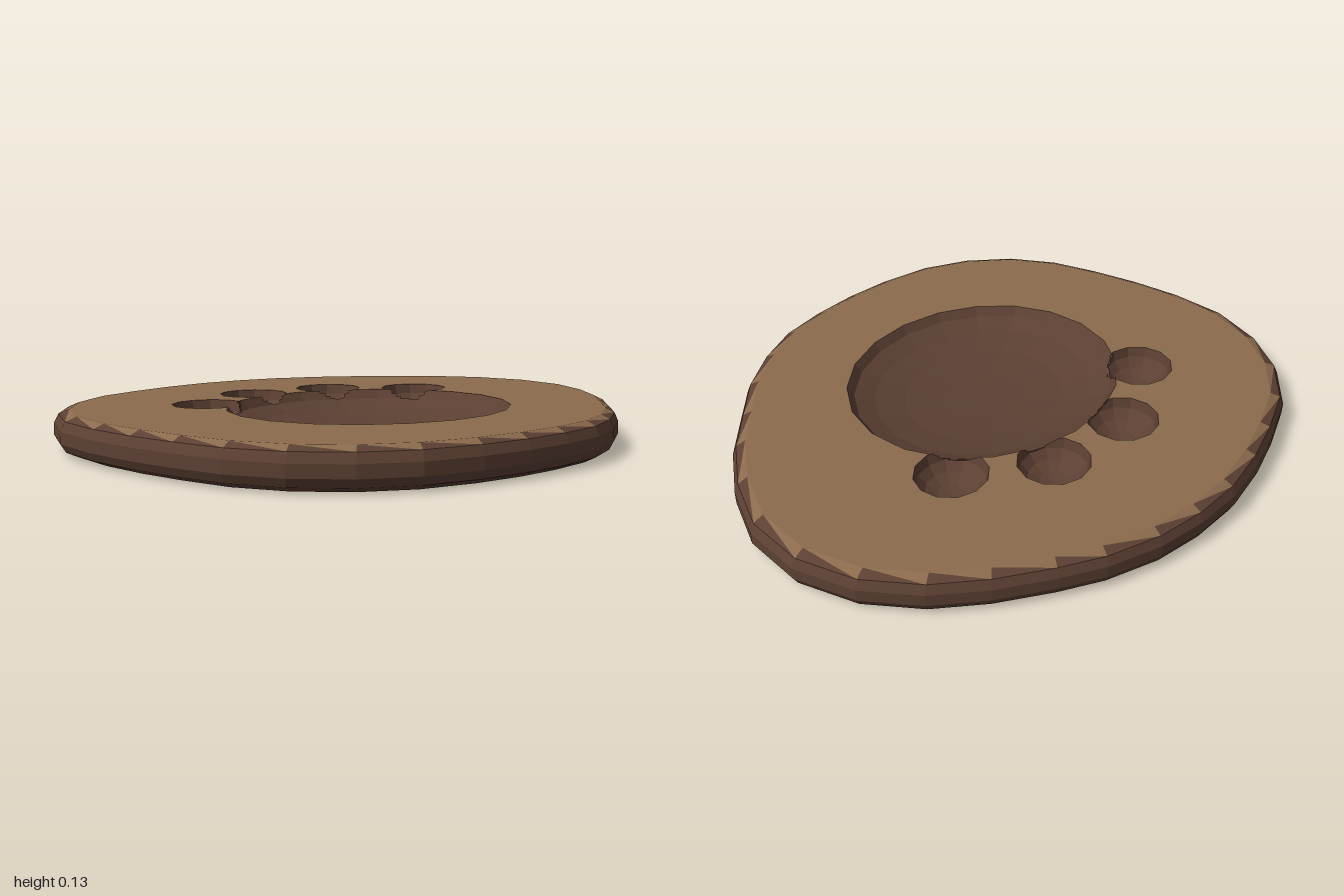
import * as THREE from 'three';

const TOP = 0.13;

// Slab outline as x, z pairs, clockwise from the back
const OUTLINE = [
  [-0.03, -0.885], [0.14, -0.87], [0.32, -0.82], [0.46, -0.755], [0.63, -0.66], [0.78, -0.55], [0.91, -0.4], [0.99, -0.21],
  [0.995, 0], [0.93, 0.19], [0.83, 0.36], [0.72, 0.49], [0.6, 0.63], [0.46, 0.74], [0.31, 0.82], [0.14, 0.86],
  [-0.03, 0.88], [-0.2, 0.88], [-0.39, 0.855], [-0.56, 0.785], [-0.71, 0.67], [-0.82, 0.52], [-0.89, 0.35], [-0.945, 0.18],
  [-0.985, 0], [-1, -0.2], [-0.95, -0.4], [-0.855, -0.56], [-0.71, -0.69], [-0.54, -0.77], [-0.38, -0.83], [-0.2, -0.875],
];

// Edge profile: scale of the outline, height
const PROFILE = [[0.945, 0], [0.985, 0.018], [1, 0.045], [1, 0.085], [0.985, 0.115], [0.95, TOP]];

// Carved hollows: one pad and four toes, ordered left to right
const pad = { x: -0.03, z: 0.095, rx: 0.495, rz: 0.445, depth: 0.1, sides: 20, rings: 5 };
const toes = [[-0.47, -0.235], [-0.195, -0.41], [0.13, -0.41], [0.408, -0.235]].map(([x, z]) => (
  { x, z, rx: 0.123, rz: 0.118, depth: 0.09, sides: 12, rings: 4 }));
const hollows = [pad, ...toes];

// Point on a faceted hollow: i around, j down from the rim
function hollowPoint(h, i, j) {
  const a = (i / h.sides) * Math.PI * 2 + Math.PI / 2;
  const b = (j / h.rings) * Math.PI / 2;
  return new THREE.Vector3(
    h.x + h.rx * Math.cos(a) * Math.cos(b), TOP - h.depth * Math.sin(b), h.z + h.rz * Math.sin(a) * Math.cos(b));
}

// Is a point inside the faceted hollow?
function inside(h, p) {
  const w = Math.max(0, (TOP - p.y) / h.depth);
  if (w >= 1) return false;
  const step = Math.PI / 2 / h.rings;
  const j = Math.floor(Math.asin(w) / step + 1e-9);
  const w0 = Math.sin(j * step), w1 = Math.sin((j + 1) * step);
  const radius = THREE.MathUtils.lerp(Math.cos(j * step), Math.cos((j + 1) * step), (w - w0) / (w1 - w0));
  const u = (p.x - h.x) / h.rx, v = (p.z - h.z) / h.rz;
  const s = (Math.PI * 2) / h.sides;
  const a = THREE.MathUtils.euclideanModulo(Math.atan2(v, u) - Math.PI / 2, s) - s / 2;
  return Math.hypot(u, v) * Math.cos(a) / Math.cos(s / 2) < radius - 1e-5;
}

// Rim of one hollow, sampled along its straight edges
function rim(h, per = 10) {
  const pts = [];
  for (let i = 0; i < h.sides; i++) {
    const a = hollowPoint(h, i, 0), b = hollowPoint(h, i + 1, 0);
    for (let k = 0; k < per; k++) pts.push(a.clone().lerp(b, k / per));
  }
  return pts;
}

// Joined rim: the pad edge, swapped for a toe's outer arc where they meet
function pawOutline() {
  const pts = [], done = new Set();
  for (const p of rim(pad)) {
    const toe = toes.find((t) => inside(t, p));
    if (!toe) pts.push(p);
    else if (!done.has(toe)) {
      done.add(toe);
      const r = rim(toe), n = r.length;
      const start = r.findIndex((q, i) => inside(pad, q) && !inside(pad, r[(i + 1) % n]));
      for (let k = 1; k <= n; k++) {
        const q = r[(start + k) % n];
        if (!inside(pad, q)) pts.push(q);
      }
    }
  }
  return pts;
}

function fromTriangles(points) {
  const g = new THREE.BufferGeometry().setFromPoints(points);
  g.computeVertexNormals();
  return g;
}

// Hollow surface in small facets, leaving out those within another hollow
function hollowGeometry(h, n = 8) {
  const out = [];
  const others = hollows.filter((o) => o !== h);
  const add = (a, b, c) => {
    if (!others.some((o) => inside(o, a) && inside(o, b) && inside(o, c))) out.push(a, b, c);
  };
  const split = (a, b, c) => {
    const at = (i, j) => a.clone().addScaledVector(b.clone().sub(a), i / n).addScaledVector(c.clone().sub(a), j / n);
    for (let i = 0; i < n; i++) {
      for (let j = 0; i + j < n; j++) {
        add(at(i, j), at(i + 1, j), at(i, j + 1));
        if (i + j < n - 1) add(at(i + 1, j), at(i + 1, j + 1), at(i, j + 1));
      }
    }
  };
  for (let i = 0; i < h.sides; i++) {
    for (let j = 0; j < h.rings; j++) {
      const a1 = hollowPoint(h, i, j), b1 = hollowPoint(h, i + 1, j);
      const a0 = hollowPoint(h, i, j + 1), b0 = hollowPoint(h, i + 1, j + 1);
      split(a0, b1, a1);
      if (j < h.rings - 1) split(a0, b0, b1);
    }
  }
  return fromTriangles(out);
}

export function createModel() {
  const group = new THREE.Group();
  const bark = new THREE.MeshStandardMaterial({ color: 0x5c4033, flatShading: true });
  const wood = new THREE.MeshStandardMaterial({ color: 0x8b6b4d, flatShading: true });
  const add = (name, geometry, material) => {
    const mesh = new THREE.Mesh(geometry, material);
    mesh.name = name;
    group.add(mesh);
    return mesh;
  };

  // Rounded bark edge; the last band is split into bark and wood chips
  const barkTris = [], chipTris = [];
  const edge = (i, k) => {
    const [x, z] = OUTLINE[i % OUTLINE.length], [s, y] = PROFILE[k];
    return new THREE.Vector3(x * s, y, z * s);
  };
  for (let k = 0; k < PROFILE.length - 1; k++) {
    for (let i = 0; i < OUTLINE.length; i++) {
      const a0 = edge(i, k), a1 = edge(i, k + 1), b0 = edge(i + 1, k), b1 = edge(i + 1, k + 1);
      (k === PROFILE.length - 2 ? chipTris : barkTris).push(a0, a1, b1);
      barkTris.push(a0, b1, b0);
    }
  }
  add('barkEdge', fromTriangles(barkTris), bark);
  add('chippedRim', fromTriangles(chipTris), wood);

  // Flat top with the paw-shaped opening
  const scaled = (s, sign) => OUTLINE.map(([x, z]) => new THREE.Vector2(x * s, sign * z * s));
  const topShape = new THREE.Shape(scaled(PROFILE.at(-1)[0], -1));
  topShape.holes.push(new THREE.Path(pawOutline().map((p) => new THREE.Vector2(p.x, -p.z))));
  add('topFace', new THREE.ShapeGeometry(topShape).rotateX(-Math.PI / 2).translate(0, TOP, 0), wood);

  // Underside
  const bottomShape = new THREE.Shape(scaled(PROFILE[0][0], 1));
  add('underside', new THREE.ShapeGeometry(bottomShape).rotateX(Math.PI / 2), bark);

  // Carved hollows
  hollows.forEach((h, i) => add(i ? `toeHollow${i}` : 'padHollow', hollowGeometry(h), bark));
  return group;
}
